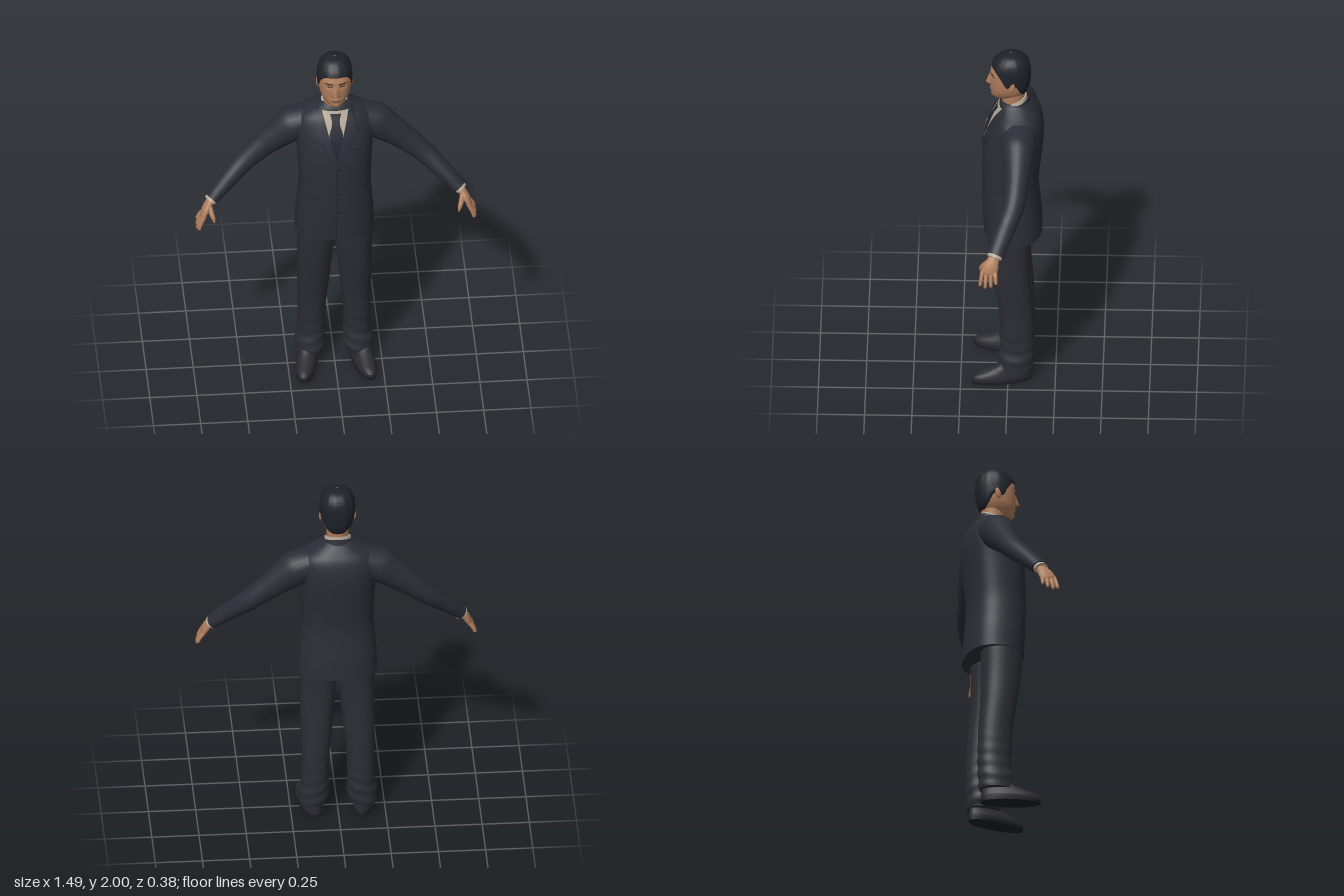
import * as THREE from 'three';
import { mergeVertices, toCreasedNormals } from 'three/addons/utils/BufferGeometryUtils.js';

const paint = (name, color, side = THREE.FrontSide) => {
  const m = new THREE.MeshStandardMaterial({ color, side });
  m.name = name;
  return m;
};
const { lerp, clamp } = THREE.MathUtils;

// Smooth surface from a rule fn(u, v) -> [x, y, z]; u runs right, v runs up
function grid(nu, nv, fn) {
  const pos = [], idx = [];
  for (let j = 0; j <= nv; j++) for (let i = 0; i <= nu; i++) pos.push(...fn(i / nu, j / nv));
  for (let j = 0; j < nv; j++) for (let i = 0; i < nu; i++) {
    const a = j * (nu + 1) + i, d = a + nu + 1;
    idx.push(a, a + 1, d, a + 1, d + 1, d);
  }
  const g = new THREE.BufferGeometry();
  g.setAttribute('position', new THREE.Float32BufferAttribute(pos, 3));
  g.setIndex(idx);
  return toCreasedNormals(mergeVertices(g, 1e-5), 1.0);
}

// Smooth interpolation of table rows [y, ...values] at height y
function sample(rows, y) {
  const n = rows.length;
  y = clamp(y, rows[0][0], rows[n - 1][0]);
  let i = 0;
  while (i < n - 2 && y > rows[i + 1][0]) i++;
  const A = rows[i], B = rows[i + 1], P = rows[Math.max(i - 1, 0)], Q = rows[Math.min(i + 2, n - 1)];
  const h = B[0] - A[0], t = (y - A[0]) / h, t2 = t * t, t3 = t2 * t;
  return A.slice(1).map((_, k) => {
    k++;
    const m0 = (B[k] - P[k]) / (B[0] - P[0]) * h, m1 = (Q[k] - A[k]) / (Q[0] - A[0]) * h;
    return (2 * t3 - 3 * t2 + 1) * A[k] + (t3 - 2 * t2 + t) * m0 + (3 * t2 - 2 * t3) * B[k] + (t3 - t2) * m1;
  });
}

// Point on the rounded section at height y; rows are [y, centreX, halfWidth, zFront, zBack]
function around(rows, p, y, t) {
  const [cx, a, zf, zb] = sample(rows, y), e = 2 / p;
  const pw = v => Math.sign(v) * Math.pow(Math.abs(v), e);
  return [cx + a * pw(Math.sin(t)), y, (zf + zb) / 2 + (zf - zb) / 2 * pw(Math.cos(t))];
}
// Front depth of the same section at x
function frontZ(rows, p, x, y) {
  const [cx, a, zf, zb] = sample(rows, y), r = Math.min(Math.abs((x - cx) / a), 0.97);
  return (zf + zb) / 2 + (zf - zb) / 2 * Math.pow(1 - Math.pow(r, p), 1 / p);
}
// Capped stack of sections, with an optional rule that shapes each point
function stack(rows, p, nv, shape = q => q) {
  return (u, v) => {
    const w = clamp((v * nv - 1) / (nv - 2), 0, 1) * (rows.length - 1), i = Math.min(Math.floor(w), rows.length - 2);
    const y = lerp(rows[i][0], rows[i + 1][0], w - i), t = u * Math.PI * 2;
    if (v === 0 || v === 1) {
      const [cx, , zf, zb] = sample(rows, y);
      return shape([cx, y, (zf + zb) / 2], 0);
    }
    return shape(around(rows, p, y, t), t);
  };
}
// Capped tube through rows [x, y, z, thickness, width]
function limb(rows, nv) {
  const curve = new THREE.CatmullRomCurve3(rows.map(r => new THREE.Vector3(r[0], r[1], r[2])));
  return (u, v) => {
    const w = clamp((v * nv - 1) / (nv - 2), 0, 1), k = w * (rows.length - 1), i = Math.min(Math.floor(k), rows.length - 2);
    const c = curve.getPoint(w), d = curve.getTangent(w);
    const s = new THREE.Vector3().crossVectors(d, new THREE.Vector3(0, 0, 1)).normalize();
    const f = new THREE.Vector3().crossVectors(s, d), t = u * Math.PI * 2;
    if (v > 0 && v < 1) c.addScaledVector(s, Math.sin(t) * lerp(rows[i][3], rows[i + 1][3], k - i))
      .addScaledVector(f, Math.cos(t) * lerp(rows[i][4], rows[i + 1][4], k - i));
    return [c.x, c.y, c.z];
  };
}

const jacketRows = [[0.89, 0, 0.21, 0.13, -0.18], [1.0, 0, 0.206, 0.136, -0.175], [1.1, 0, 0.198, 0.14, -0.165], [1.2, 0, 0.191, 0.14, -0.16],
  [1.3, 0, 0.194, 0.14, -0.168], [1.42, 0, 0.2, 0.134, -0.181], [1.52, 0, 0.207, 0.112, -0.187], [1.58, 0, 0.206, 0.09, -0.18],
  [1.625, 0, 0.188, 0.07, -0.165], [1.66, 0, 0.135, 0.052, -0.142], [1.69, 0, 0.092, 0.04, -0.118], [1.705, 0, 0.075, 0.03, -0.1]];
const legRows = [[0.07, 0.13, 0.073, 0.05, -0.13], [0.12, 0.128, 0.08, 0.052, -0.135], [0.2, 0.122, 0.073, 0.04, -0.138], [0.32, 0.12, 0.073, 0.042, -0.137],
  [0.45, 0.115, 0.079, 0.052, -0.132], [0.6, 0.11, 0.088, 0.076, -0.12], [0.75, 0.104, 0.094, 0.097, -0.115], [0.88, 0.1, 0.1, 0.106, -0.116], [1.0, 0.1, 0.095, 0.1, -0.12]];
const headRows = [[1.722, 0, 0.03, 0.075, -0.04], [1.745, 0, 0.055, 0.086, -0.08], [1.78, 0, 0.075, 0.092, -0.097], [1.82, 0, 0.084, 0.094, -0.107],
  [1.86, 0, 0.088, 0.095, -0.111], [1.9, 0, 0.088, 0.091, -0.111], [1.935, 0, 0.081, 0.077, -0.103], [1.96, 0, 0.066, 0.055, -0.086], [1.977, 0, 0.042, 0.028, -0.058], [1.985, 0, 0.004, -0.008, -0.016]];
const shoeRows = [[0.012, 0, 0.054, 0.185, -0.12], [0.03, 0, 0.057, 0.188, -0.121], [0.048, 0, 0.054, 0.17, -0.12], [0.07, 0, 0.049, 0.115, -0.118], [0.095, 0, 0.045, 0.06, -0.115], [0.12, 0, 0.04, 0.03, -0.1]];
const soleRows = [[0, 0, 0.056, 0.188, -0.124], [0.014, 0, 0.058, 0.19, -0.125]];
const neckRows = [[1.6, 0, 0.068, 0.03, -0.09], [1.68, 0, 0.06, 0.035, -0.085], [1.8, 0, 0.06, 0.04, -0.09]];
const collarRows = [[1.645, 0, 0.085, 0.056, -0.108], [1.68, 0, 0.078, 0.05, -0.1], [1.712, 0, 0.068, 0.042, -0.094]];

// Nose, eye sockets, lips, brow and chin as bumps on the front of the head
const bump = (v, c, w) => Math.exp(-(((v - c) / w) ** 2));
function faceRelief(x, y) {
  const ax = Math.abs(x);
  const nose = y > 1.812 ? clamp((1.885 - y) / 0.073, 0, 1) : bump(y, 1.812, 0.008);
  return 0.027 * nose * bump(x, 0, 0.009 + 0.005 * nose) - 0.008 * bump(ax, 0.034, 0.019) * bump(y, 1.866, 0.013)
    + 0.007 * bump(x, 0, 0.022) * bump(y, 1.779, 0.012) + 0.008 * bump(x, 0, 0.025) * bump(y, 1.742, 0.013)
    + 0.004 * bump(ax, 0.03, 0.03) * bump(y, 1.89, 0.01);
}
const faceZ = (x, y) => frontZ(headRows, 2.2, x, y) + faceRelief(x, y);
const chestZ = (x, y) => frontZ(jacketRows, 2.4, x, y);

export function createModel() {
  const model = new THREE.Group();
  const suit = paint('suit cloth', 0x2b2d36, THREE.DoubleSide), trousers = paint('trouser cloth', 0x2c2d34);
  const seam = paint('dark seam', 0x1c1d24), skin = paint('skin', 0xaf7d5c), lip = paint('lips', 0x8d5c48);
  const shirt = paint('shirt cloth', 0xb3a797, THREE.DoubleSide), tie = paint('tie cloth', 0x222530);
  const hair = paint('hair', 0x1e2229), leather = paint('shoe leather', 0x2a2a31);

  const add = (name, mat, nu, nv, fn) => {
    const mesh = new THREE.Mesh(grid(nu, nv, fn), mat);
    mesh.name = name;
    model.add(mesh);
  };
  // The same part on both sides
  const pair = (name, mat, nu, nv, fn) => {
    add(name + 'Left', mat, nu, nv, fn);
    add(name + 'Right', mat, nu, nv, (u, v) => { const [x, y, z] = fn(1 - u, v); return [-x, y, z]; });
  };
  // Thin plate following a front surface between two edges
  const plate = (depth, y0, y1, x0, x1, off) => (u, v) => {
    const y = lerp(y0, y1, v), x = lerp(x0(y), x1(y), u);
    return [x, y, depth(x, y) + off];
  };
  const edge = (...rows) => y => sample(rows, y)[0];
  const at = x => () => x;

  // Jacket body
  add('jacket', suit, 48, 46, stack(jacketRows, 2.4, 46));
  // Shirt front, tie and lapels
  const vee = y => Math.max(0, (y - 1.4) * 0.25);
  const tieEdge = edge([1.4, 0.0], [1.55, 0.036], [1.61, 0.022], [1.635, 0.021], [1.667, 0.03]);
  const tieHalf = y => Math.min(vee(y), tieEdge(y));
  add('shirtFront', shirt, 12, 18, plate(chestZ, 1.4, 1.68, y => -vee(y), vee, 0.004));
  add('tie', tie, 8, 22, plate(chestZ, 1.4, 1.667, y => -tieHalf(y), tieHalf, 0.009));
  const lapelOut = y => y < 1.585 ? lerp(0.01, 0.125, (y - 1.39) / 0.195) : y < 1.597 ? 0.098 : lerp(0.112, 0.086, (y - 1.597) / 0.09);
  pair('lapel', suit, 8, 30, plate(chestZ, 1.39, 1.685, y => vee(y), lapelOut, 0.007));
  pair('lapelEdge', seam, 2, 30, plate(chestZ, 1.39, 1.685, lapelOut, y => lapelOut(y) + 0.004, 0.004));
  // Jacket fastening and pockets
  add('jacketOpening', seam, 2, 24, plate(chestZ, 0.89, 1.4, at(-0.002), at(0.002), 0.003));
  for (const y of [1.36, 1.2, 1.08]) add('button', seam, 3, 3, plate(chestZ, y - 0.007, y + 0.007, at(0.006), at(0.02), 0.006));
  pair('pocketFlap', suit, 8, 3, plate(chestZ, 1.13, 1.165, at(0.085), at(0.165), 0.007));
  pair('pocketSeam', seam, 8, 1, plate(chestZ, 1.165, 1.169, at(0.085), at(0.165), 0.005));
  add('breastPocket', seam, 6, 1, plate(chestZ, 1.468, 1.472, at(0.075), at(0.14), 0.004));
  // Collars: both rise towards the back
  const tilt = ([x, y, z]) => [x, y - (z + 0.03) * 0.4, z];
  add('shirtCollar', shirt, 36, 10, stack(collarRows, 2, 10, tilt));
  add('jacketCollar', suit, 28, 5, (u, v) => {
    const [x, y, z] = around(collarRows, 2, lerp(1.645, 1.698, v), lerp(0.33, 1.67, u) * Math.PI);
    return tilt([x * 1.12, y, (z + 0.03) * 1.12 - 0.03]);
  });

  // Sleeves, cuffs and hands
  pair('sleeve', suit, 24, 36, limb([[0.13, 1.585, -0.055, 0.07, 0.09], [0.22, 1.535, -0.055, 0.097, 0.092], [0.29, 1.482, -0.054, 0.083, 0.078], [0.37, 1.417, -0.05, 0.068, 0.064],
    [0.47, 1.33, -0.034, 0.057, 0.058], [0.57, 1.237, 0.012, 0.048, 0.052], [0.657, 1.15, 0.055, 0.037, 0.046]], 36));
  pair('cuff', shirt, 20, 8, limb([[0.64, 1.167, 0.047, 0.03, 0.038], [0.667, 1.139, 0.061, 0.032, 0.04]], 8));
  pair('palm', skin, 18, 16, limb([[0.65, 1.155, 0.055, 0.02, 0.026], [0.672, 1.128, 0.066, 0.021, 0.032], [0.69, 1.098, 0.079, 0.02, 0.043], [0.705, 1.065, 0.09, 0.014, 0.043], [0.708, 1.056, 0.093, 0.006, 0.034]], 16));
  const fingers = [[0.056, 0.735, 1.015, 0.05], [0.079, 0.737, 0.998, 0.077], [0.101, 0.736, 0.99, 0.107], [0.122, 0.728, 1.0, 0.134]];
  for (const [z, tx, ty, tz] of fingers) pair('finger', skin, 10, 12, limb([[0.698, 1.078, z, 0.011, 0.012], [lerp(0.703, tx, 0.6), lerp(1.078, ty, 0.5), lerp(z, tz, 0.5), 0.011, 0.011],
    [tx, lerp(1.078, ty, 0.93), tz, 0.009, 0.009], [tx, ty, tz, 0.003, 0.003]], 12));
  pair('thumb', skin, 10, 12, limb([[0.672, 1.125, 0.083, 0.015, 0.016], [0.663, 1.095, 0.112, 0.014, 0.014], [0.652, 1.066, 0.131, 0.011, 0.011], [0.647, 1.047, 0.139, 0.004, 0.004]], 12));

  // Trousers, creased above the hem
  pair('trouserLeg', trousers, 32, 60, stack(legRows, 2.2, 60, ([x, y, z], t) => {
    const k = 1 + 0.035 * clamp((0.45 - y) / 0.3, 0, 1) * Math.sin(y * 85 + 2 * Math.sin(t));
    return [0.125 + (x - 0.125) * k, y, -0.045 + (z + 0.045) * k];
  }));
  // Shoes, turned slightly outwards
  const turn = ([x, y, z]) => [x * (z > 0 ? 1 - z * 0.6 : 1) + 0.144 + z * 0.18, y, z];
  pair('shoe', leather, 36, 22, stack(shoeRows, 2.3, 22, turn));
  pair('sole', seam, 36, 5, stack(soleRows, 2.3, 5, turn));

  // Neck, head and ears
  add('neck', skin, 28, 10, stack(neckRows, 2, 10));
  add('head', skin, 90, 92, stack(headRows, 2.2, 92, ([x, y, z], t) => [x, y, z + (Math.cos(t) > 0.1 ? faceRelief(x, y) : 0)]));
  for (const s of [-1, 1]) {
    const ear = new THREE.Mesh(new THREE.SphereGeometry(1, 14, 10), skin);
    ear.name = s > 0 ? 'earLeft' : 'earRight';
    ear.scale.set(0.009, 0.031, 0.018);
    ear.position.set(s * 0.088, 1.833, -0.018);
    ear.rotation.set(-0.15, s * -0.3, 0);
    model.add(ear);
  }
  // Eyes, brows and mouth
  pair('eye', seam, 8, 2, plate(faceZ, 1.8625, 1.8675, at(0.021), at(0.047), 0.002));
  pair('eyebrow', hair, 8, 2, plate(faceZ, 1.885, 1.891, at(0.016), at(0.054), 0.002));
  add('mouth', lip, 10, 4, plate(faceZ, 1.77, 1.783, y => -0.025 + Math.abs(y - 1.777) * 1.5, y => 0.025 - Math.abs(y - 1.777) * 1.5, 0.0015));

  // Hair: a combed cap whose lower edge follows the hairline
  const hairline = edge([0, 1.917], [0.6, 1.912], [0.95, 1.893], [1.2, 1.865], [1.42, 1.825], [1.62, 1.828], [1.85, 1.832], [2.15, 1.79], [2.6, 1.755], [3.142, 1.75]);
  add('hair', hair, 80, 28, (u, v) => {
    const t = u * Math.PI * 2, low = hairline(Math.min(t, Math.PI * 2 - t));
    const [x, y, z] = around(headRows, 2.2, lerp(low, 1.985, 1 - (1 - v) ** 2), t);
    const k = (v === 0 ? 1.0 : 1.065) + 0.012 * Math.sin(11 * t) * Math.sin(v * Math.PI);
    return [x * k, y + Math.max(0, y - 1.88) * 0.14, (z + 0.01) * k - 0.01];
  });
  return model;
}
